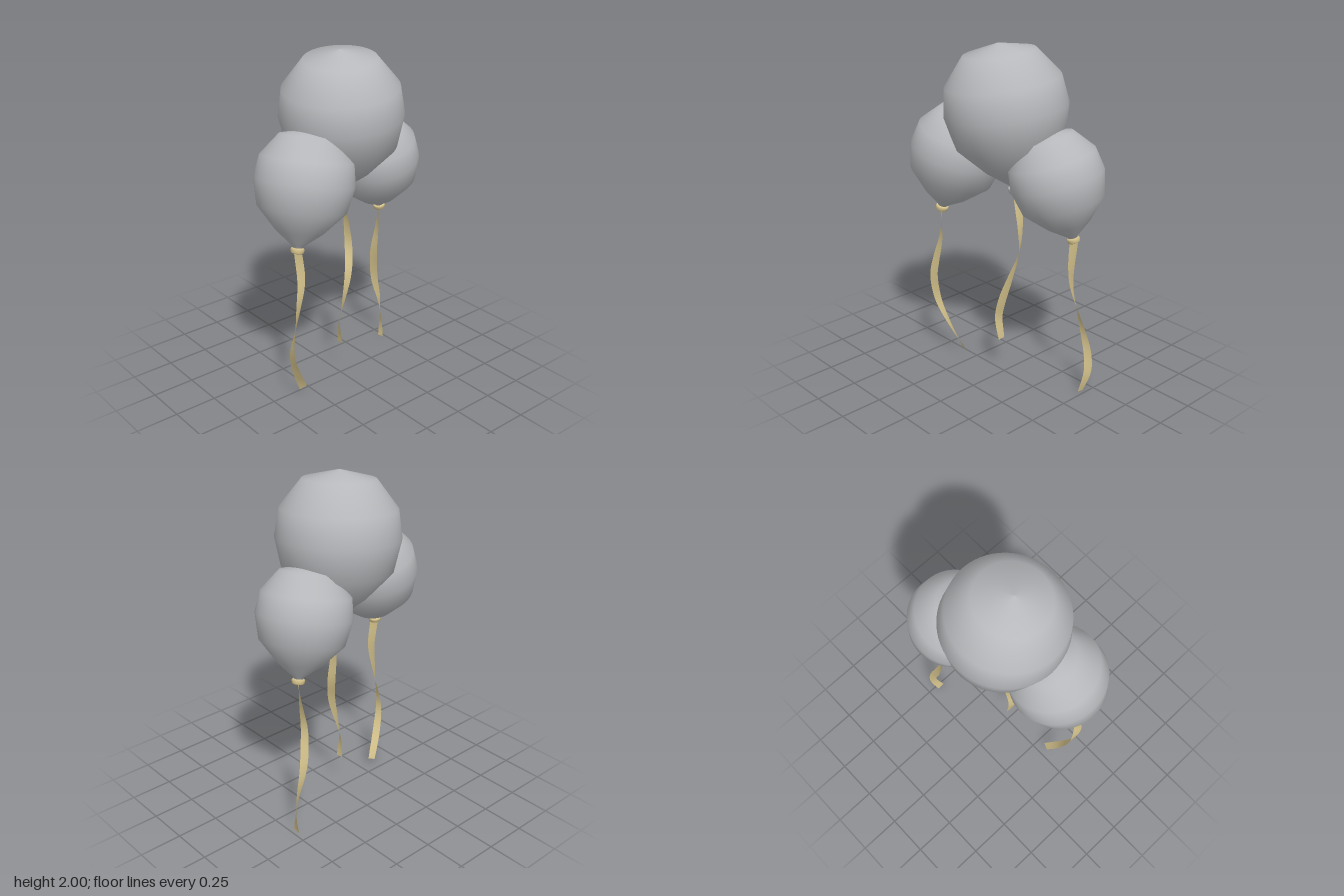
import * as THREE from 'three';

const V = (p) => new THREE.Vector3(...p);
const profile = (pts) => pts.map(([r, y]) => new THREE.Vector2(r, y));

// Balloon skin and tied knot, measured upward from the bottom of the knot
const SKIN = profile([[0.028, 0.03], [0.04, 0.05], [0.164, 0.15], [0.306, 0.305], [0.346, 0.488], [0.322, 0.645], [0.202, 0.8], [0, 0.849]]);
const KNOT = profile([[0, 0], [0.038, 0], [0.045, 0.006], [0.049, 0.028], [0.044, 0.036], [0.02, 0.042]]);

// Each balloon: knot position, lean of its axis, size, and its ribbon path with twist in degrees
const BALLOONS = [
  {
    name: 'middle', base: [0.058, 1.156, -0.045], lean: [-0.096, 1, 0.08], size: 1, tinted: false,
    path: [[0.058, 1.17, -0.045], [0.085, 0.94, -0.047], [0.09, 0.8, -0.035], [0.058, 0.65, 0], [0, 0.47, 0.02], [-0.025, 0.36, 0.02], [-0.012, 0.22, 0.01]],
    twist: [-45, -270],
  },
  {
    name: 'right', base: [-0.407, 0.97, 0.128], lean: [0.26, 1, -0.14], size: 0.79, tinted: true,
    path: [[-0.404, 0.99, 0.128], [-0.397, 0.8, 0.146], [-0.43, 0.65, 0.16], [-0.452, 0.54, 0.163], [-0.455, 0.36, 0.13], [-0.4, 0.2, 0.09], [-0.32, 0.045, 0.046]],
    twist: [60, -170],
  },
  {
    name: 'left', base: [0.42, 0.937, -0.138], lean: [-0.26, 1, 0.14], size: 0.76, tinted: true,
    path: [[0.418, 0.95, -0.138], [0.402, 0.78, -0.14], [0.396, 0.65, -0.155], [0.435, 0.44, -0.19], [0.49, 0.25, -0.2], [0.5, 0.13, -0.195], [0.476, 0.002, -0.165]],
    twist: [-40, -270],
  },
];

// Flat ribbon whose width turns steadily about the vertical as it falls
function ribbonGeometry(path, [from, to], width = 0.045, steps = 48) {
  const curve = new THREE.CatmullRomCurve3(path.map(V));
  const pos = [], index = [];
  for (let i = 0; i <= steps; i++) {
    const t = i / steps;
    const p = curve.getPointAt(t);
    const tangent = curve.getTangentAt(t);
    const a = THREE.MathUtils.degToRad(from + (to - from) * t);
    const side = new THREE.Vector3(Math.cos(a), 0, Math.sin(a));
    side.addScaledVector(tangent, -side.dot(tangent)).setLength(width / 2);
    for (const s of [-1, 1]) {
      const q = p.clone().addScaledVector(side, s);
      pos.push(q.x, Math.max(0, q.y), q.z);
    }
    if (i < steps) {
      const k = i * 2;
      index.push(k, k + 2, k + 1, k + 1, k + 2, k + 3);
    }
  }
  const g = new THREE.BufferGeometry();
  g.setAttribute('position', new THREE.Float32BufferAttribute(pos, 3));
  g.setIndex(index);
  g.computeVertexNormals();
  return g;
}

export function createModel() {
  const grey = new THREE.MeshStandardMaterial({ name: 'balloon grey', color: 0xb6b8bb });
  const gold = new THREE.MeshStandardMaterial({ name: 'ribbon gold', color: 0xd2c08a, side: THREE.DoubleSide });

  const model = new THREE.Group();
  model.name = 'balloonBunch';
  const skinGeometry = new THREE.LatheGeometry(SKIN, 64);
  const knotGeometry = new THREE.LatheGeometry(KNOT, 32);

  for (const b of BALLOONS) {
    const group = new THREE.Group();
    group.name = `${b.name}Balloon`;

    // Leaning balloon body with its knot
    const body = new THREE.Group();
    body.name = `${b.name}BalloonBody`;
    const skin = new THREE.Mesh(skinGeometry, grey);
    skin.name = 'balloonSkin';
    const knot = new THREE.Mesh(knotGeometry, b.tinted ? gold : grey);
    knot.name = 'balloonKnot';
    body.add(skin, knot);
    body.position.set(...b.base);
    body.scale.setScalar(b.size);
    body.quaternion.setFromUnitVectors(new THREE.Vector3(0, 1, 0), V(b.lean).normalize());

    // Hanging ribbon
    const ribbon = new THREE.Mesh(ribbonGeometry(b.path, b.twist), gold);
    ribbon.name = `${b.name}Ribbon`;
    group.add(body, ribbon);
    model.add(group);
  }
  return model;
}
